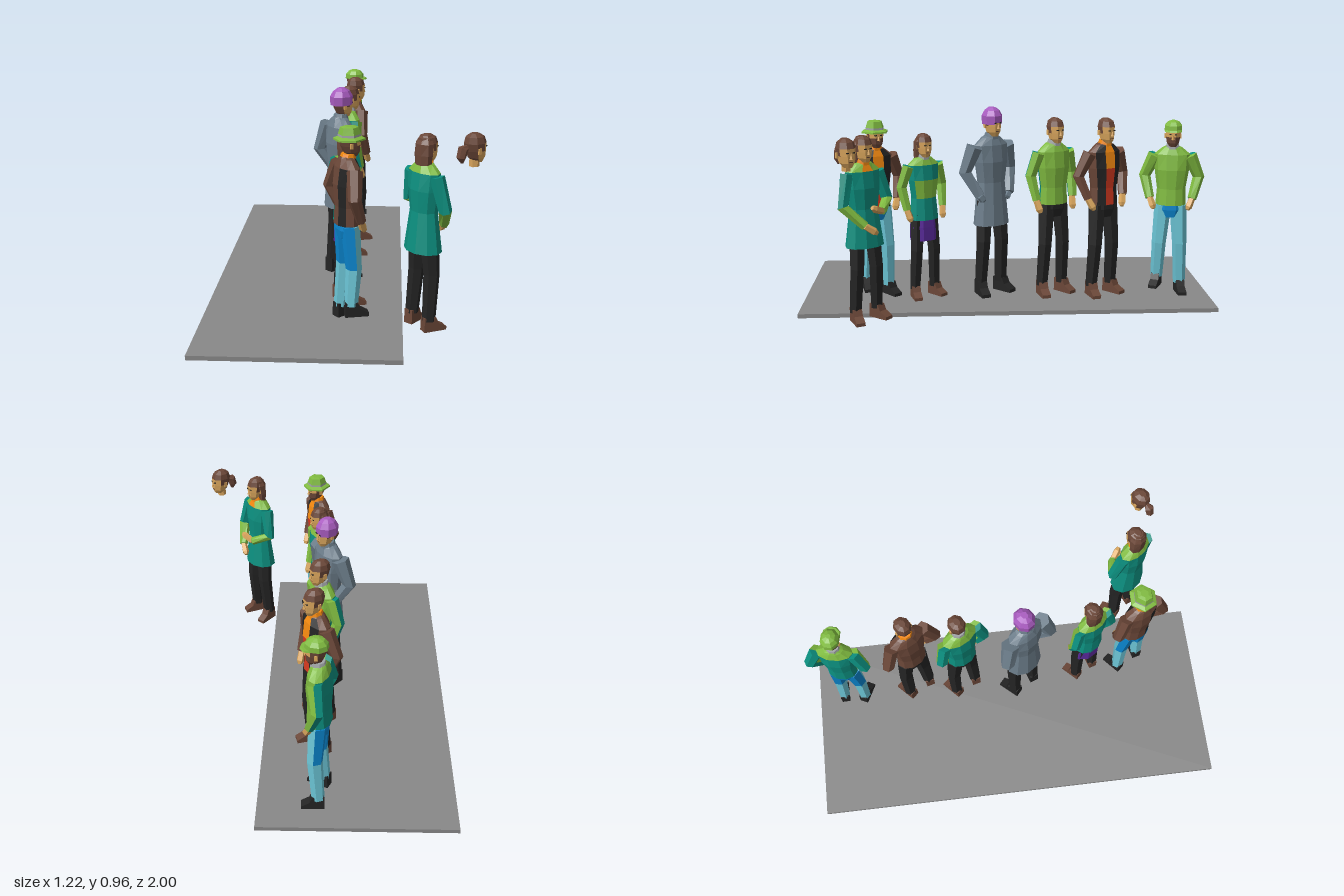
import * as THREE from 'three';

const C = {
  ground: 0x888888, skin: 0xd9a55c, hair: 0x6b4738, brown: 0x6b4738, black: 0x242424, teal: 0x0c8f7f, green: 0x80bb40,
  cyan: 0x6cc5d6, blue: 0x0a86cf, slate: 0x6c7d8a, violet: 0x5a2a9c, lilac: 0xa95cc0, orange: 0xf58a10, red: 0xd63a20, grey: 0xa0a4a6,
};
const mats = {};
const mat = (c) => (mats[c] ??= new THREE.MeshStandardMaterial({ color: C[c], flatShading: true }));
const V = (x, y, z) => new THREE.Vector3(x, y, z);

function add(parent, name, geo, color, x = 0, y = 0, z = 0) {
  const m = new THREE.Mesh(geo, mat(color));
  m.name = name;
  m.position.set(x, y, z);
  parent.add(m);
  return m;
}

// Closed skin over rings of points; color is a name or a rule (row, column) => name
function skin(parent, name, rings, color) {
  const pick = typeof color === 'string' ? () => color : color;
  const faces = {};
  const tri = (c, ...p) => p.forEach((v) => (faces[c] ??= []).push(v.x, v.y, v.z));
  const n = rings[0].length, last = rings.length - 1;
  const mid = (r) => r.reduce((s, p) => s.add(p), V(0, 0, 0)).divideScalar(n);
  const a = mid(rings[0]), b = mid(rings[last]);
  for (let k = 0; k < n; k++) {
    const j = (k + 1) % n;
    for (let i = 0; i < last; i++) {
      const c = pick(i, k), lo = rings[i], hi = rings[i + 1];
      tri(c, lo[k], lo[j], hi[j]);
      tri(c, lo[k], hi[j], hi[k]);
    }
    tri(pick(0, k), a, rings[0][j], rings[0][k]);
    tri(pick(last - 1, k), b, rings[last][k], rings[last][j]);
  }
  const g = new THREE.Group();
  g.name = name;
  for (const [c, pos] of Object.entries(faces)) {
    const geo = new THREE.BufferGeometry();
    geo.setAttribute('position', new THREE.Float32BufferAttribute(pos, 3));
    geo.computeVertexNormals();
    add(g, name, geo, c);
  }
  parent.add(g);
}

// Upright loft: rows of [y, rx, rz, z offset]; column 0 faces front
function loft(parent, name, rows, n, color) {
  const rings = rows.map(([y, rx, rz, cz = 0]) => Array.from({ length: n }, (_, k) => {
    const t = ((k - 0.5) * 2 * Math.PI) / n;
    return V(rx * Math.sin(t), y, cz + rz * Math.cos(t));
  }));
  skin(parent, name, rings, color);
}

// Limb along a path of [x, y, z, radius]
function limb(parent, name, path, n, color) {
  const p = path.map(([x, y, z]) => V(x, y, z));
  const rings = p.map((c, i) => {
    const t = p[Math.min(i + 1, p.length - 1)].clone().sub(p[Math.max(i - 1, 0)]).normalize();
    const u = V(0, 0, 1).cross(t).normalize(), v = t.clone().cross(u);
    return Array.from({ length: n }, (_, k) => {
      const a = (k * 2 * Math.PI) / n;
      return c.clone().addScaledVector(u, path[i][3] * Math.cos(a)).addScaledVector(v, path[i][3] * Math.sin(a));
    });
  });
  skin(parent, name, rings, color);
}

function head({ beard, longHair, ponytail, hat }) {
  const g = new THREE.Group();
  g.name = 'head';
  loft(g, 'neck', [[0, 0.021, 0.021], [0.045, 0.022, 0.022]], 6, 'skin');
  loft(g, 'skull', [[0.018, 0.018, 0.022, 0.016], [0.038, 0.033, 0.038, 0.01], [0.068, 0.039, 0.046, 0.004],
    [0.1, 0.042, 0.05, 0], [0.126, 0.035, 0.042, -0.002], [0.14, 0.015, 0.02, -0.004]], 8, (i, k) => {
    const f = Math.min(k, 8 - k);
    if (i < 2 && beard && f < 3) return 'hair';
    return (i < 3 && f < 2) || (i < 2 && f === 2) ? 'skin' : 'hair';
  });
  add(g, 'nose', new THREE.ConeGeometry(0.009, 0.028, 4), 'skin', 0, 0.07, 0.05);
  add(g, 'mouth', new THREE.BoxGeometry(0.02, 0.004, 0.006), 'hair', 0, 0.043, 0.043);
  for (const s of [-1, 1]) {
    add(g, 'eye', new THREE.BoxGeometry(0.011, 0.005, 0.006), 'black', s * 0.014, 0.083, 0.045);
    add(g, 'ear', new THREE.BoxGeometry(0.008, 0.024, 0.014), 'skin', s * 0.039, 0.07, -0.006);
  }
  if (longHair) loft(g, 'longHair', [[-0.012, 0.045, 0.027, -0.022], [0.05, 0.05, 0.034, -0.02], [0.1, 0.047, 0.04, -0.014], [0.136, 0.025, 0.025, -0.01]], 8, 'hair');
  if (ponytail) limb(g, 'ponytail', [[0, 0.085, -0.04, 0.012], [0, 0.078, -0.062, 0.022], [0, 0.045, -0.07, 0.02], [0, 0.022, -0.064, 0.006]], 6, 'hair');
  if (hat === 'beanie') loft(g, 'beanie', [[0.075, 0.047, 0.053, -0.003], [0.115, 0.049, 0.055, -0.003], [0.14, 0.035, 0.04, -0.003], [0.154, 0.015, 0.018, -0.003]], 8, 'lilac');
  if (hat === 'cap') {
    loft(g, 'cap', [[0.1, 0.048, 0.055], [0.125, 0.046, 0.052], [0.143, 0.032, 0.036], [0.152, 0.01, 0.012]], 8, 'green');
    loft(g, 'capBrim', [[0.096, 0.046, 0.04, 0.034], [0.104, 0.044, 0.038, 0.03]], 8, 'green');
  }
  if (hat === 'bucket') loft(g, 'brimmedHat', [[0.093, 0.07, 0.074], [0.101, 0.069, 0.073], [0.109, 0.049, 0.053], [0.119, 0.048, 0.052], [0.15, 0.038, 0.042], [0.154, 0.02, 0.022]], 6,
    (i) => (i === 2 ? 'grey' : 'green'));
  return g;
}

// Shoe from its side outline
function shoe(parent, color, x, y, z, turn) {
  const s = new THREE.Shape([[-0.036, 0], [0.074, 0], [0.074, 0.016], [0.035, 0.038], [0.022, 0.068], [-0.034, 0.068]].map(([a, b]) => new THREE.Vector2(a, b)));
  const geo = new THREE.ExtrudeGeometry(s, { depth: 0.044, bevelEnabled: false });
  geo.rotateY(-Math.PI / 2).translate(0.022, 0, 0);
  add(parent, 'shoe', geo, color, x, y, z).rotation.y = turn;
}

const RELAXED = [[0.088, 0.735, -0.002, 0.034], [0.122, 0.62, -0.02, 0.03], [0.108, 0.5, 0.015, 0.023], [0.1, 0.455, 0.032, 0.014]];
const ON_HIPS = [[0.088, 0.735, -0.002, 0.036], [0.138, 0.62, -0.025, 0.03], [0.108, 0.51, 0.02, 0.023], [0.092, 0.47, 0.038, 0.014]];
const IN_POCKETS = [[0.092, 0.735, -0.005, 0.042], [0.13, 0.61, -0.03, 0.034], [0.085, 0.5, 0.03, 0.026], [0.07, 0.48, 0.035, 0.012]];
const FOLD_HIGH = [[0.085, 0.73, 0, 0.034], [0.122, 0.59, 0.015, 0.03], [0.05, 0.55, 0.083, 0.022], [0.0, 0.57, 0.098, 0.014]];
const FOLD_LOW = [[0.085, 0.73, 0, 0.034], [0.122, 0.58, 0.02, 0.03], [0.045, 0.49, 0.083, 0.022], [0.005, 0.46, 0.098, 0.014]];

function person(o) {
  const g = new THREE.Group();
  g.name = o.name;
  const hem = o.hem ?? 0.475, lift = o.lift ?? 0, wide = o.hemWidth ?? 0.078;

  // Legs, shoes and hips
  const legColor = o.pants === 'cyan' ? (i, k) => (i === 1 && k > 2 ? 'blue' : 'cyan') : o.pants;
  for (const s of [-1, 1]) {
    const up = s < 0 ? lift : 0;
    limb(g, 'leg', [[s * 0.06, 0.05 + up, -0.006, 0.031], [s * 0.053, 0.27, 0.01, 0.037], [s * 0.039, 0.47, 0, 0.044]], 6, legColor);
    shoe(g, o.shoes, s * 0.061, up, 0, s * 0.25);
  }
  loft(g, 'hips', [[0.41, 0.055, 0.042], [0.45, 0.078, 0.05], [0.52, 0.07, 0.048]], 8, o.pants === 'cyan' ? 'blue' : o.pants);
  if (o.skirt) loft(g, 'skirt', [[0.325, 0.082, 0.058], [0.4, 0.082, 0.056], [0.5, 0.07, 0.05]], 8, o.skirt);

  // Upper garment and collar
  loft(g, 'torso', [[hem, wide, wide * 0.74], [0.56, 0.073, 0.053], [0.66, 0.088, 0.06], [0.74, 0.092, 0.05], [0.775, 0.05, 0.036], [0.785, 0.03, 0.03]], 10,
    (i, k) => o.top(i, Math.min(k, 10 - k), k));
  loft(g, 'collar', [[0.768, 0.04, 0.038, 0.003], [0.798, 0.031, 0.032, 0.006]], 8, o.collar);

  // Arms and hands
  for (const s of [-1, 1]) {
    const arm = (s < 0 && o.rightArm) || o.arm;
    const path = arm.map(([x, y, z, r]) => [s * x, y, z, r]);
    const [w, h] = path.slice(2);
    limb(g, 'sleeve', path.slice(0, 3), 6, (i, k) => o.sleeve(i, k));
    limb(g, 'hand', [[...w.slice(0, 3), 0.017], [...h.slice(0, 3), 0.019], [...h.slice(0, 3).map((v, i) => v + (v - w[i]) * 0.35), 0.01]], 5, o.arm === IN_POCKETS ? o.sleeve(1, 0) : 'skin');
  }
  const hd = head(o);
  hd.position.set(0, 0.765, 0.012);
  g.add(hd);
  g.position.set(o.x, o.y ?? 0.02, o.z);
  g.rotation.y = THREE.MathUtils.degToRad(o.yaw);
  g.scale.setScalar(o.s);
  return g;
}

// Colour rules for the upper garments (row, columns from front, column)
const jacket = (i, f) => (i > 3 ? 'brown' : f === 0 ? (i > 1 ? 'orange' : 'red') : f === 1 ? 'black' : 'brown');
const darkBackJacket = (i, f, k) => (k === 6 && i < 3 ? 'black' : jacket(i, f));
const sweater = (i, f) => (i > 2 || f < 3 ? 'green' : 'teal');
const blockSweater = (i, f) => (i > 2 || (i === 1 && f < 2) ? 'green' : 'teal');
const longCoat = (i, f) => (f === 0 && i > 2 ? 'orange' : i > 2 ? 'green' : 'teal');
const brownSleeve = () => 'brown';
const mixedSleeve = (i, k) => (k > 2 ? 'teal' : 'green');

export function createModel() {
  const model = new THREE.Group();
  add(model, 'platform', new THREE.BoxGeometry(0.89, 0.02, 2), 'ground', -0.165, 0.01, 0);
  [
    { name: 'manInCap', x: 0, z: -0.81, yaw: 78, s: 0.95, lift: 0.03, pants: 'cyan', shoes: 'black', top: sweater, collar: 'grey', sleeve: mixedSleeve, arm: ON_HIPS, hat: 'cap', beard: true },
    { name: 'manInJacket', x: 0.02, z: -0.47, yaw: 120, s: 0.978, pants: 'black', shoes: 'brown', top: jacket, collar: 'orange', sleeve: brownSleeve, arm: ON_HIPS },
    { name: 'manInSweater', x: 0, z: -0.225, yaw: 119, s: 0.978, pants: 'black', shoes: 'brown', top: sweater, collar: 'grey', sleeve: mixedSleeve, arm: RELAXED },
    { name: 'manInLongCoat', x: -0.025, z: 0.08, yaw: 124, s: 1.018, hem: 0.35, hemWidth: 0.094, pants: 'black', shoes: 'black', top: () => 'slate', collar: 'slate', sleeve: () => 'slate', arm: IN_POCKETS, hat: 'beanie' },
    { name: 'womanInSkirt', x: 0.02, z: 0.41, yaw: 121, s: 0.9, hem: 0.44, hemWidth: 0.084, pants: 'black', shoes: 'brown', skirt: 'violet', top: blockSweater, collar: 'grey', sleeve: mixedSleeve, arm: RELAXED, longHair: true },
    { name: 'manInBrimmedHat', x: 0.035, y: 0.03, z: 0.64, yaw: 117, s: 0.95, lift: 0.045, pants: 'cyan', shoes: 'black', top: darkBackJacket, collar: 'orange', sleeve: brownSleeve, arm: ON_HIPS, hat: 'bucket', beard: true },
    { name: 'womanInCoat', x: 0.36, z: 0.665, yaw: 128, s: 0.95, hem: 0.375, hemWidth: 0.1, pants: 'black', shoes: 'brown', top: longCoat, collar: 'orange', sleeve: (i) => (i ? 'green' : 'teal'), arm: FOLD_HIGH, rightArm: FOLD_LOW, longHair: true },
  ].forEach((o) => model.add(person(o)));

  // Separate head beside the group
  const spare = head({ ponytail: true });
  spare.name = 'separateHead';
  spare.position.set(0.56, 0.758, 0.71);
  spare.rotation.y = THREE.MathUtils.degToRad(125);
  model.add(spare);
  return model;
}
